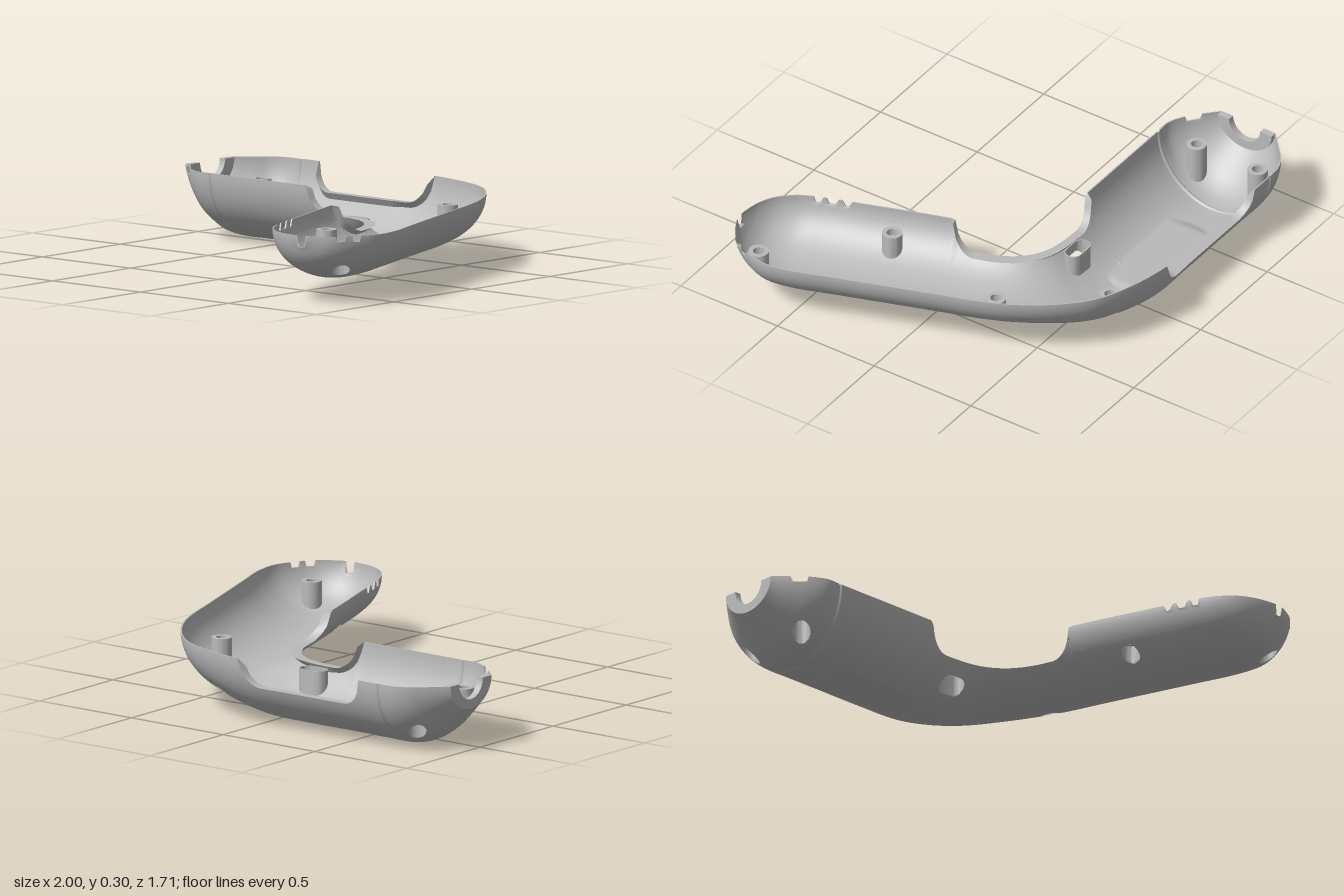
import * as THREE from 'three';
import { toCreasedNormals } from 'three/addons/utils/BufferGeometryUtils.js';

const RIM = 0.3, WALL = 0.006, LIP = 0.035;

// Cross-sections from nose to handle end: outer rim x, z, inner rim x, z, lowest y
const sections = [
  [-1, -0.70, -1, -0.42, 0.18], [-0.92, -0.775, -0.92, -0.345, 0.10],
  [-0.86, -0.825, -0.86, -0.30, 0.045], [-0.80, -0.85, -0.80, -0.275, 0.012],
  [-0.74, -0.855, -0.74, -0.275, 0], [-0.62, -0.855, -0.62, -0.275, 0],
  [-0.42, -0.855, -0.42, -0.275, 0], [-0.2, -0.855, -0.22, -0.275, 0],
  [0.04, -0.855, -0.05, -0.275, 0.008], [0.245, -0.81, 0.03, -0.265, 0.03],
  [0.405, -0.74, 0.085, -0.245, 0.055], [0.535, -0.62, 0.13, -0.215, 0.075],
  [0.645, -0.46, 0.17, -0.175, 0.086], [0.71, -0.315, 0.215, -0.10, 0.088],
  [0.76, -0.17, 0.25, 0.01, 0.088], [0.85, 0.085, 0.325, 0.236, 0.088],
  [0.9175, 0.2775, 0.3975, 0.438, 0.088], [0.985, 0.47, 0.47, 0.64, 0.09],
  [1.0, 0.59, 0.515, 0.73, 0.098], [0.965, 0.70, 0.58, 0.80, 0.133],
  [0.91, 0.78, 0.65, 0.835, 0.19], [0.82, 0.837, 0.735, 0.85, 0.265],
  [0.785, 0.85, 0.775, 0.85, 0.295],
];
const outerRim = new THREE.CatmullRomCurve3(sections.map(s => new THREE.Vector3(s[0], s[4], s[1])));
const innerRim = new THREE.CatmullRomCurve3(sections.map(s => new THREE.Vector3(s[2], 0, s[3])));

// Screw posts and one oval post: x, z, opening radius, half length, top y, bore at the top
const posts = [
  ...[[-0.835, -0.72, 0.22], [-0.835, -0.405, 0.22], [0.245, -0.70, 0.215],
    [0.55, -0.32, 0.22], [0.435, 0.295, 0.235], [0.865, 0.69, 0.235]]
    .map(([x, z, top]) => ({ x, z, r: 0.039, half: 0, top, bore: 0.024 })),
  { x: 0.01, z: -0.37, r: 0.034, half: 0.03, top: 0.17, bore: 0.034 },
];

// Small rim notches: x, z, half width, depth
const notches = [
  [0.432, 0.53, 0.017, 0.028], [0.454, 0.59, 0.017, 0.028], [0.478, 0.65, 0.017, 0.028],
  [0.965, 0.70, 0.02, 0.025], [0.925, 0.757, 0.02, 0.025], [0.78, 0.85, 0.02, 0.05],
  [-0.91, -0.335, 0.035, 0.025],
];

// How far the two long rounded openings cut the rim down
function rimCut(p, outer) {
  const s = outer ? Math.min(p.x + 0.62, 0.03 - p.x) : Math.min(p.x + 0.185, 0.08 - p.z);
  if (s <= 0) return 0;
  const k = 1 - Math.min(s / 0.1, 1);
  return 0.12 * Math.sqrt(1 - k * k);
}

// Point on the half shell: u along the body, v across it, th inset from the outside
function shellPoint(u, v, th) {
  const o = outerRim.getPoint(u), i = innerRim.getPoint(u);
  const groove = Math.abs(o.x + 0.73) < 0.005 ? 0.005 : 0;
  const full = Math.hypot(o.x - i.x, o.z - i.z) / 2;
  const w = Math.max(full - th - groove, 0.001), d = Math.max(RIM - o.y - th - groove, 0.002);
  const a0 = Math.asin(Math.min(rimCut(o, true) / d, 0.95));
  const a1 = Math.asin(Math.min(rimCut(i, false) / d, 0.95));
  const a = a0 + v * (Math.PI - a0 - a1);
  const k = Math.cos(a) * w / full / 2;
  const p = new THREE.Vector3((o.x + i.x) / 2 + (o.x - i.x) * k, RIM - d * Math.sin(a),
    (o.z + i.z) / 2 + (o.z - i.z) * k);
  // flat pad under the barrel, fading out at both ends
  const pad = THREE.MathUtils.smoothstep(Math.min(p.x + 0.6, -p.x), 0, 0.07);
  if (pad > 0) p.y = Math.max(p.y, 0.02 * pad + th);
  for (const [x, z, half, depth] of notches) {
    if (Math.hypot(p.x - x, p.z - z) < half) p.y = Math.min(p.y, RIM - depth);
  }
  return p;
}

// Slide along the shell until the point sits at the wanted x, z
function slideTo(x, z, u, v, th) {
  const e = 1e-3;
  for (let n = 0; n < 5; n++) {
    const p = shellPoint(u, v, th), pu = shellPoint(u + e, v, th), pv = shellPoint(u, v + e, th);
    const a = (pu.x - p.x) / e, b = (pv.x - p.x) / e, c = (pu.z - p.z) / e, d = (pv.z - p.z) / e;
    const det = a * d - b * c;
    if (Math.abs(det) < 1e-6) break;
    const dx = x - p.x, dz = z - p.z;
    u = THREE.MathUtils.clamp(u + (d * dx - b * dz) / det, 0, 0.998);
    v = THREE.MathUtils.clamp(v + (a * dz - c * dx) / det, 0, 0.998);
  }
  return new THREE.Vector3(x, shellPoint(u, v, th).y, z);
}

// Surface through rows of points; skip() may leave quads open
function gridGeometry(rows, skip = () => false) {
  const n = rows[0].length, index = [];
  for (let r = 0; r < rows.length - 1; r++) {
    for (let c = 0; c < n - 1; c++) {
      if (skip(r, c)) continue;
      const a = r * n + c, b = a + n;
      index.push(a, b, a + 1, b, b + 1, a + 1);
    }
  }
  const g = new THREE.BufferGeometry().setFromPoints(rows.flat());
  g.setIndex(index);
  return toCreasedNormals(g, 0.5);
}

const NU = 330, NV = 64;
function shellSurface(th) {
  const rows = [], open = [];
  for (let r = 0; r <= NU; r++) {
    rows.push([]);
    open.push([]);
    for (let c = 0; c <= NV; c++) {
      const u = r / NU, v = c / NV;
      let p = shellPoint(u, v, th), inside = false;
      for (const h of posts) {
        const cx = THREE.MathUtils.clamp(p.x, h.x - h.half, h.x + h.half);
        const dist = Math.hypot(p.x - cx, p.z - h.z);
        if (dist >= h.r) continue;
        inside = true;
        // pull vertices onto the hole's edge
        if (dist > 0.001) {
          p = slideTo(cx + (p.x - cx) * h.r / dist, h.z + (p.z - h.z) * h.r / dist, u, v, th);
        }
        break;
      }
      rows[r].push(p);
      open[r].push(inside);
    }
  }
  const skip = (r, c) => open[r][c] && open[r + 1][c] && open[r][c + 1] && open[r + 1][c + 1];
  return { rows, geometry: gridGeometry(rows, skip) };
}

// Rim edge, widening to a lip along the long openings
function rimGeometry(outer) {
  const rows = [];
  for (let r = 0; r <= NU; r++) {
    const u = r / NU, v = outer ? 0 : 1, deeper = outer ? 0.04 : 0.96;
    const cut = rimCut((outer ? outerRim : innerRim).getPoint(u), outer);
    const th = cut > 0 ? LIP : WALL;
    rows.push([shellPoint(u, v, 0), shellPoint(u, v, th), shellPoint(u, cut > 0 ? deeper : v, WALL)]);
  }
  return gridGeometry(rows);
}

// Hollow post whose foot follows the shell
function postGeometry(h, shellRows) {
  const R = h.r + 0.005;
  const profile = [[R, null], [R, h.top], [h.bore, h.top], [h.bore, h.top - 0.03], [h.r, h.top - 0.03], [h.r, null]];
  const rows = profile.map(([rad, y]) => {
    const ring = [];
    for (let k = 0; k <= 32; k++) {
      const t = (k + 0.5) / 32 * Math.PI * 2;
      const x = h.x + rad * Math.cos(t) + Math.sign(Math.cos(t)) * h.half, z = h.z + rad * Math.sin(t);
      let py = y;
      if (y === null) {
        let best = Infinity, bu = 0, bv = 0;
        shellRows.forEach((row, r) => row.forEach((p, c) => {
          const d = (p.x - x) ** 2 + (p.z - z) ** 2;
          if (d < best) { best = d; bu = r / NU; bv = c / NV; }
        }));
        py = Math.min(slideTo(x, z, bu, bv, 0).y + 0.003, h.top - 0.03);
      }
      ring.push(new THREE.Vector3(x, py, z));
    }
    return ring;
  });
  return gridGeometry(rows);
}

// Half-ring plate closing the nose
function noseGeometry() {
  const s = new THREE.Shape();
  s.absellipse(0, 0, 0.14, 0.12, Math.PI, Math.PI * 2, false);
  s.lineTo(0.08, 0);
  s.absellipse(0, 0, 0.08, 0.08, Math.PI * 2, Math.PI, true);
  s.closePath();
  const g = new THREE.ExtrudeGeometry(s, { depth: 0.03, bevelEnabled: false, curveSegments: 24 });
  return g.rotateY(Math.PI / 2).translate(-1, RIM, -0.56);
}

export function createModel() {
  const group = new THREE.Group();
  group.name = 'toolHousingHalf';
  const grey = new THREE.MeshStandardMaterial({ color: 0xbababa, side: THREE.DoubleSide });
  grey.name = 'grey plastic';
  const add = (name, geometry) => {
    const mesh = new THREE.Mesh(geometry, grey);
    mesh.name = name;
    group.add(mesh);
  };
  const outside = shellSurface(0);
  add('outerShell', outside.geometry);
  add('innerShell', shellSurface(WALL).geometry);
  add('outerRim', rimGeometry(true));
  add('innerRim', rimGeometry(false));
  add('nosePlate', noseGeometry());
  posts.forEach(h => add(h.half ? 'ovalPost' : 'screwPost', postGeometry(h, outside.rows)));
  return group;
}
